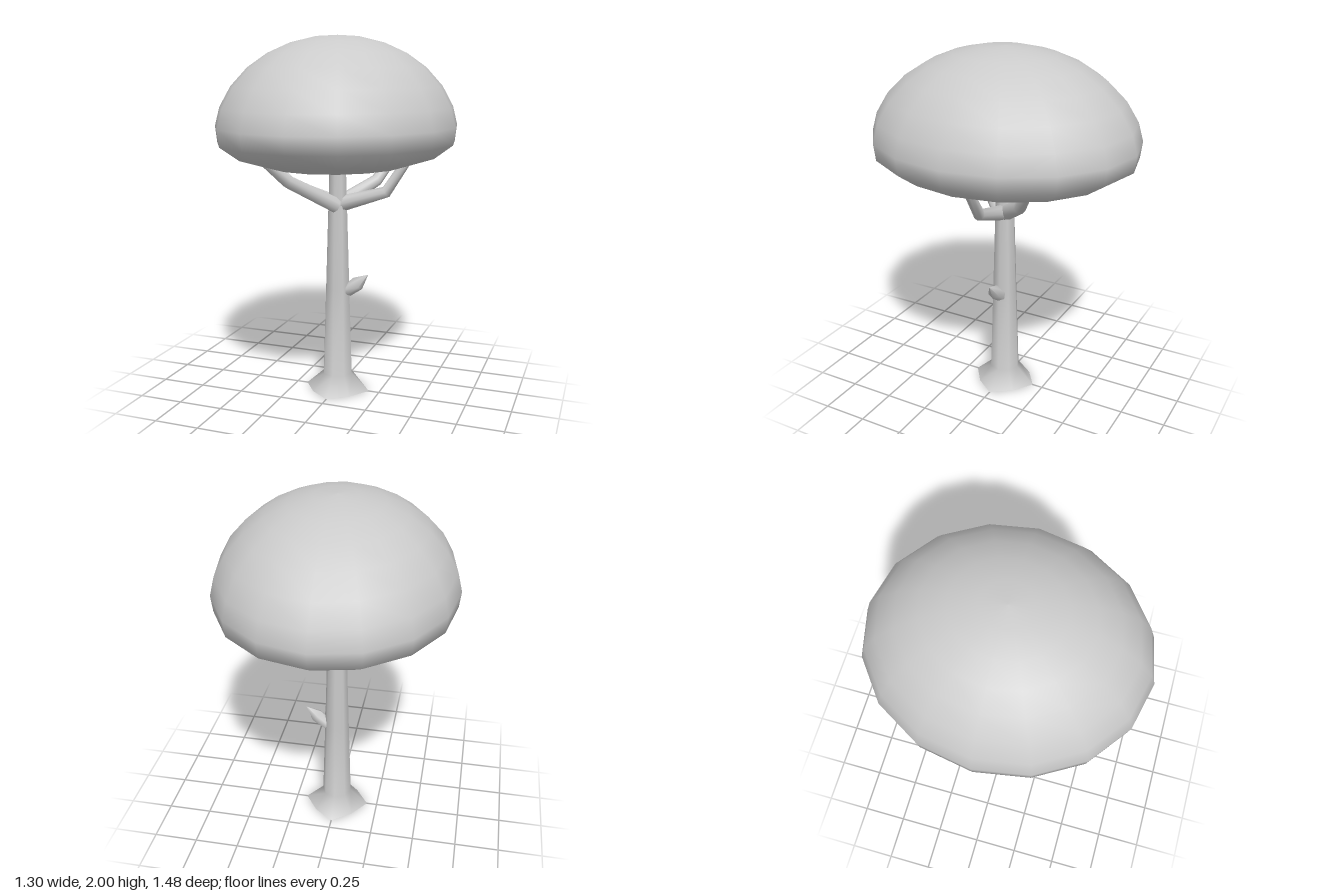
import * as THREE from 'three';

const material = new THREE.MeshStandardMaterial({ color: 0xcccccc, side: THREE.DoubleSide });

// Smooth tapered limb: one ring of vertices per path point [x, y, z, radius]
function limb(name, path, sides, shape = () => 1) {
  const pts = path.map(p => new THREE.Vector3(p[0], p[1], p[2]));
  const pos = [], idx = [];
  const ref = new THREE.Vector3(0, 0, 1);
  pts.forEach((p, i) => {
    const t = pts[Math.min(i + 1, pts.length - 1)].clone().sub(pts[Math.max(i - 1, 0)]).normalize();
    const u = new THREE.Vector3().crossVectors(t, ref).normalize();
    const v = new THREE.Vector3().crossVectors(u, t);
    for (let j = 0; j < sides; j++) {
      const a = (j / sides) * Math.PI * 2;
      const r = path[i][3] * shape(i, j);
      const q = p.clone().addScaledVector(u, Math.cos(a) * r).addScaledVector(v, Math.sin(a) * r);
      pos.push(q.x, q.y, q.z);
      if (i > 0) {
        const k = (j + 1) % sides, lo = (i - 1) * sides, hi = i * sides;
        idx.push(lo + j, lo + k, hi + j, lo + k, hi + k, hi + j);
      }
    }
  });
  // Orient faces outward (u, v, t is left-handed)
  for (let i = 0; i < idx.length; i += 3) [idx[i + 1], idx[i + 2]] = [idx[i + 2], idx[i + 1]];
  const geo = new THREE.BufferGeometry();
  geo.setAttribute('position', new THREE.Float32BufferAttribute(pos, 3));
  geo.setIndex(idx);
  geo.computeVertexNormals();
  const mesh = new THREE.Mesh(geo, material);
  mesh.name = name;
  return mesh;
}

export function createModel() {
  const tree = new THREE.Group();
  tree.name = 'tree';

  // Trunk with a flared foot whose diagonal corners are pulled in
  tree.add(limb('trunk', [
    [0, 0, 0, 0.19], [0, 0.095, 0, 0.086], [0, 0.6, 0, 0.07], [0, 1.08, 0, 0.055], [0, 1.4, 0, 0.045],
  ], 8, (i, j) => (i === 0 && j % 2 ? 0.82 : 1)));

  // Bent branches reaching into the canopy
  const branches = {
    rightFrontBranch: [[0, 1.08, 0.03, 0.045], [-0.19, 1.235, 0.26, 0.035], [-0.28, 1.35, 0.36, 0.025]],
    rightBranch: [[-0.02, 1.09, 0, 0.045], [-0.25, 1.19, 0.06, 0.032], [-0.39, 1.35, 0.1, 0.025]],
    leftBackBranch: [[0.02, 1.09, -0.02, 0.045], [0.17, 1.2, -0.18, 0.034], [0.26, 1.35, -0.28, 0.025]],
    leftBranch: [[0.02, 1.085, 0, 0.045], [0.28, 1.165, 0, 0.032], [0.4, 1.35, 0, 0.025]],
  };
  for (const [name, path] of Object.entries(branches)) tree.add(limb(name, path, 8));

  // Pointed twig on the side of the trunk
  tree.add(limb('twig', [
    [0.055, 0.585, 0, 0.035], [0.12, 0.635, 0, 0.04], [0.18, 0.69, 0, 0.001],
  ], 6));

  // Flat-bottomed domed canopy, longer front to back
  const profile = [
    [0, 1.27], [0.2, 1.28], [0.38, 1.305], [0.54, 1.355], [0.64, 1.43], [0.65, 1.52], [0.625, 1.62],
    [0.565, 1.73], [0.475, 1.83], [0.37, 1.905], [0.25, 1.96], [0.12, 1.992], [0, 2],
  ].map(([r, y]) => new THREE.Vector2(r, y));
  const geo = new THREE.LatheGeometry(profile, 16);
  geo.scale(1, 1, 0.74 / 0.65);
  const canopy = new THREE.Mesh(geo, material);
  canopy.name = 'canopy';
  tree.add(canopy);

  return tree;
}
